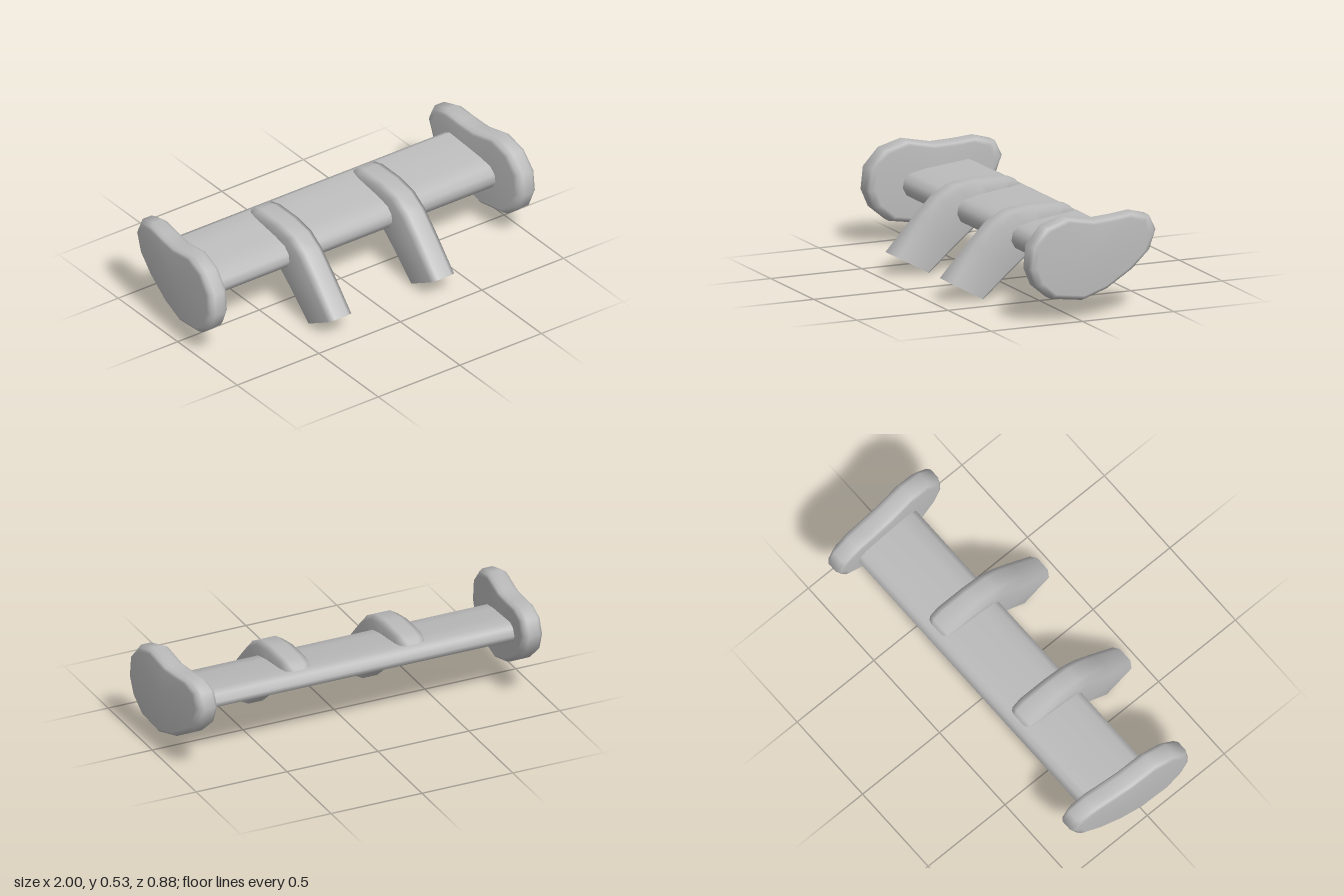
import * as THREE from 'three';

// Skin a series of closed rings ([x, y, z] points) with smooth normals.
function loft(rings) {
  const n = rings[0].length, index = [];
  for (let i = 0; i < rings.length - 1; i++) {
    for (let j = 0; j < n; j++) {
      const k = (j + 1) % n;
      const a = i * n + j, b = a + n, c = (i + 1) * n + k, d = i * n + k;
      index.push(a, b, c, a, c, d);
    }
  }
  const geometry = new THREE.BufferGeometry();
  geometry.setAttribute('position', new THREE.Float32BufferAttribute(rings.flat(2), 3));
  geometry.setIndex(index);
  geometry.computeVertexNormals();
  return geometry;
}

// Blade cross-section as [z, y], rising at the front and returning underneath.
const bladeSection = [
  [0.04, 0.24], [0.08, 0.252], [0.1, 0.29], [0.093, 0.33], [0.06, 0.362],
  [-0.02, 0.38], [-0.14, 0.396], [-0.25, 0.41], [-0.285, 0.396], [-0.305, 0.36],
  [-0.295, 0.33], [-0.26, 0.315], [-0.1, 0.272],
];

// End plate outline as [z, y].
const plateOutline = [
  [0.285, 0.285], [0.273, 0.4], [0.195, 0.49], [0.075, 0.527], [-0.08, 0.497],
  [-0.2, 0.503], [-0.305, 0.513], [-0.4, 0.487], [-0.437, 0.41], [-0.4, 0.31],
  [-0.305, 0.225], [-0.16, 0.14], [-0.02, 0.097], [0.16, 0.123], [0.247, 0.195],
];

// Rounded plate, toed in slightly towards the back.
function endPlateGeometry(side) {
  const profile = [[-0.057, 0], [-0.057, 0.88], [-0.048, 0.955], [-0.028, 1],
    [0.028, 1], [0.048, 0.955], [0.057, 0.88], [0.057, 0]];
  const rings = profile.map(([offset, scale]) => plateOutline.map(([pz, py]) => {
    const z = -0.05 + (pz + 0.05) * scale;
    const y = 0.32 + (py - 0.32) * scale;
    return [side * (0.9245 + 0.072 * z + offset), y, z];
  }));
  return loft(side > 0 ? rings : rings.reverse());
}

// Strut stations: upper edge z, y and lower edge z, y, then width scale.
const strutStations = [
  [0.44, 0.11, 0.24, 0, 1],
  [0.285, 0.28, 0.1, 0.12, 1],
  [0.19, 0.375, 0, 0.2, 1],
  [0.1, 0.427, -0.06, 0.27, 1],
  [-0.02, 0.445, -0.12, 0.32, 1],
  [-0.18, 0.443, -0.2, 0.34, 1],
  [-0.235, 0.43, -0.24, 0.35, 0.9],
  [-0.255, 0.41, -0.255, 0.36, 0.7],
];

// Curved strut, open at its foot and closed at the back.
function strutGeometry() {
  const section = [[0.04, 1], [-0.04, 1], [-0.0725, 0.8], [-0.0725, -0.8],
    [-0.04, -1], [0.04, -1], [0.0725, -0.8], [0.0725, 0.8]];
  const ring = ([uz, uy, lz, ly, w], size = 1) => section.map(([x, t]) => [
    x * w * size,
    (uy + ly) / 2 + (uy - ly) / 2 * t * size,
    (uz + lz) / 2 + (uz - lz) / 2 * t * size,
  ]);
  const rings = strutStations.map((s) => ring(s));
  rings.push(ring(strutStations[strutStations.length - 1], 0));
  return loft(rings);
}

export function createModel() {
  const model = new THREE.Group();
  model.name = 'rearWing';
  const grey = new THREE.MeshStandardMaterial({ color: 0xbcbcbc, side: THREE.DoubleSide });
  grey.name = 'grey';

  const add = (name, geometry, x = 0) => {
    const mesh = new THREE.Mesh(geometry, grey);
    mesh.name = name;
    mesh.position.x = x;
    model.add(mesh);
  };

  // Blade spanning between the end plates
  add('blade', loft([-0.9, 0.9].map((x) => bladeSection.map(([z, y]) => [x, y, z]))));

  // Mirrored end plates and struts
  const strut = strutGeometry();
  for (const [side, label] of [[1, 'left'], [-1, 'right']]) {
    add(label + 'EndPlate', endPlateGeometry(side));
    add(label + 'Strut', strut, side * 0.315);
  }
  return model;
}
